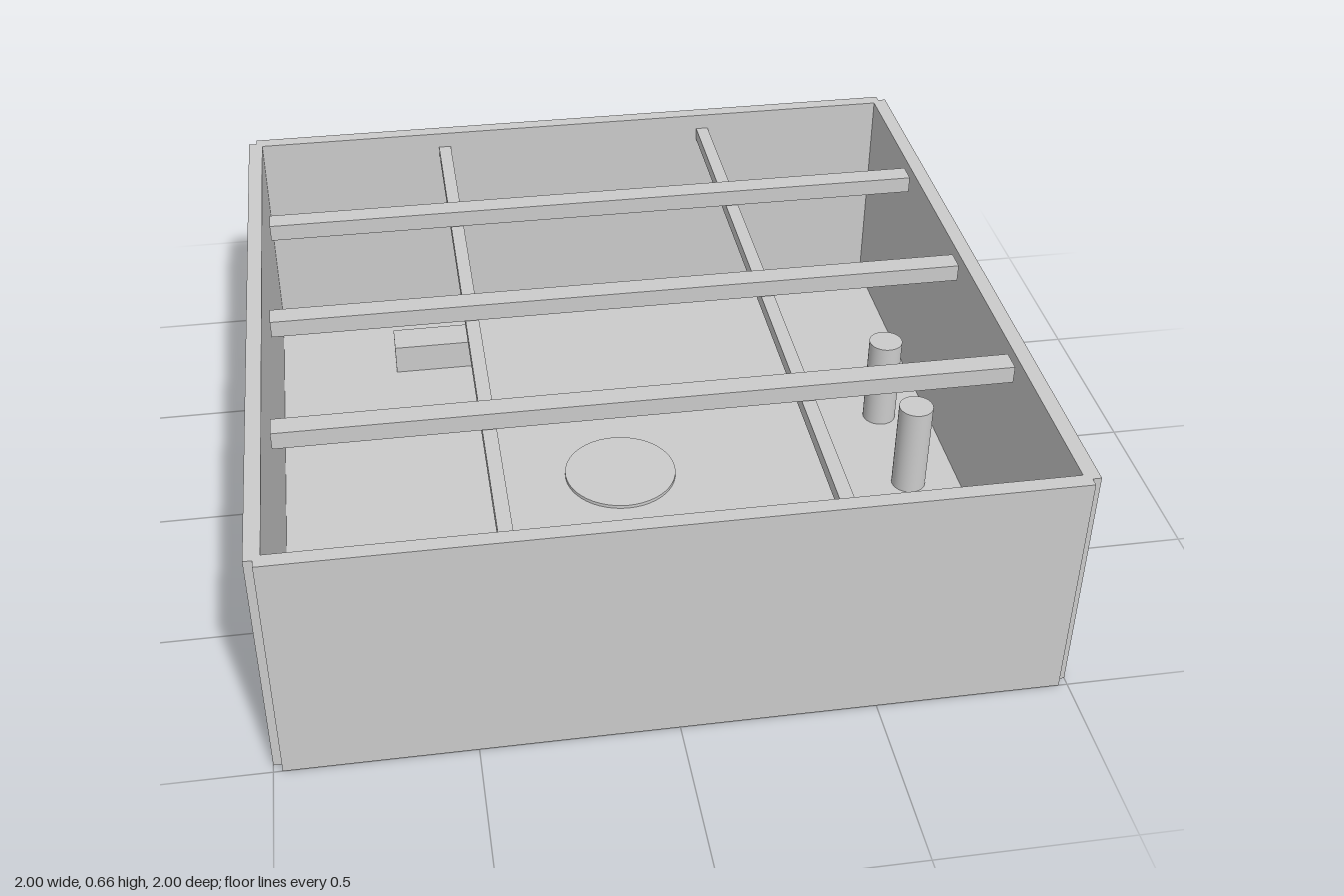
import * as THREE from 'three';

export function createModel() {
  const room = new THREE.Group();
  room.name = 'openRoom';
  const mat = new THREE.MeshStandardMaterial({ color: 0xcccccc });

  const add = (name, geometry, x, y, z) => {
    const mesh = new THREE.Mesh(geometry, mat);
    mesh.name = name;
    mesh.position.set(x, y, z);
    room.add(mesh);
  };
  // Both helpers place a part by the height of its underside
  const box = (name, w, h, d, x, y, z) =>
    add(name, new THREE.BoxGeometry(w, h, d), x, y + h / 2, z);
  const cylinder = (name, r, h, x, y, z) =>
    add(name, new THREE.CylinderGeometry(r, r, h, 48), x, y + h / 2, z);

  const floorTop = 0.02, wallTop = 0.653, thick = 0.04, span = 1.955;

  // Shell: floor and four walls, leaving a small notch at each outer corner
  box('floor', span, floorTop, span, 0, 0, 0);
  for (const s of [-1, 1]) {
    box(s > 0 ? 'frontWall' : 'backWall', span, wallTop, thick, 0, 0, s * 0.98);
    box(s > 0 ? 'leftWall' : 'rightWall', thick, wallTop, span, s * 0.98, 0, 0);
  }

  // Lower roof beams run front to back, upper ones lie across them
  for (const x of [-0.405, 0.405]) box('lowerBeam', 0.036, 0.036, 1.92, x, 0.571, 0);
  for (const z of [-0.495, 0, 0.49]) box('upperBeam', 1.875, 0.047, 0.06, 0, 0.613, z);

  // Furnishings
  cylinder('roundRug', 0.16, 0.01, 0, floorTop, 0);
  for (const z of [-0.165, 0.162]) cylinder('post', 0.048, 0.27, 0.815, floorTop, z);
  box('lowChest', 0.245, 0.09, 0.1, -0.49, floorTop, -0.656);
  box('wallCabinet', 0.485, 0.32, 0.05, 0, floorTop, 0.935);

  return room;
}
